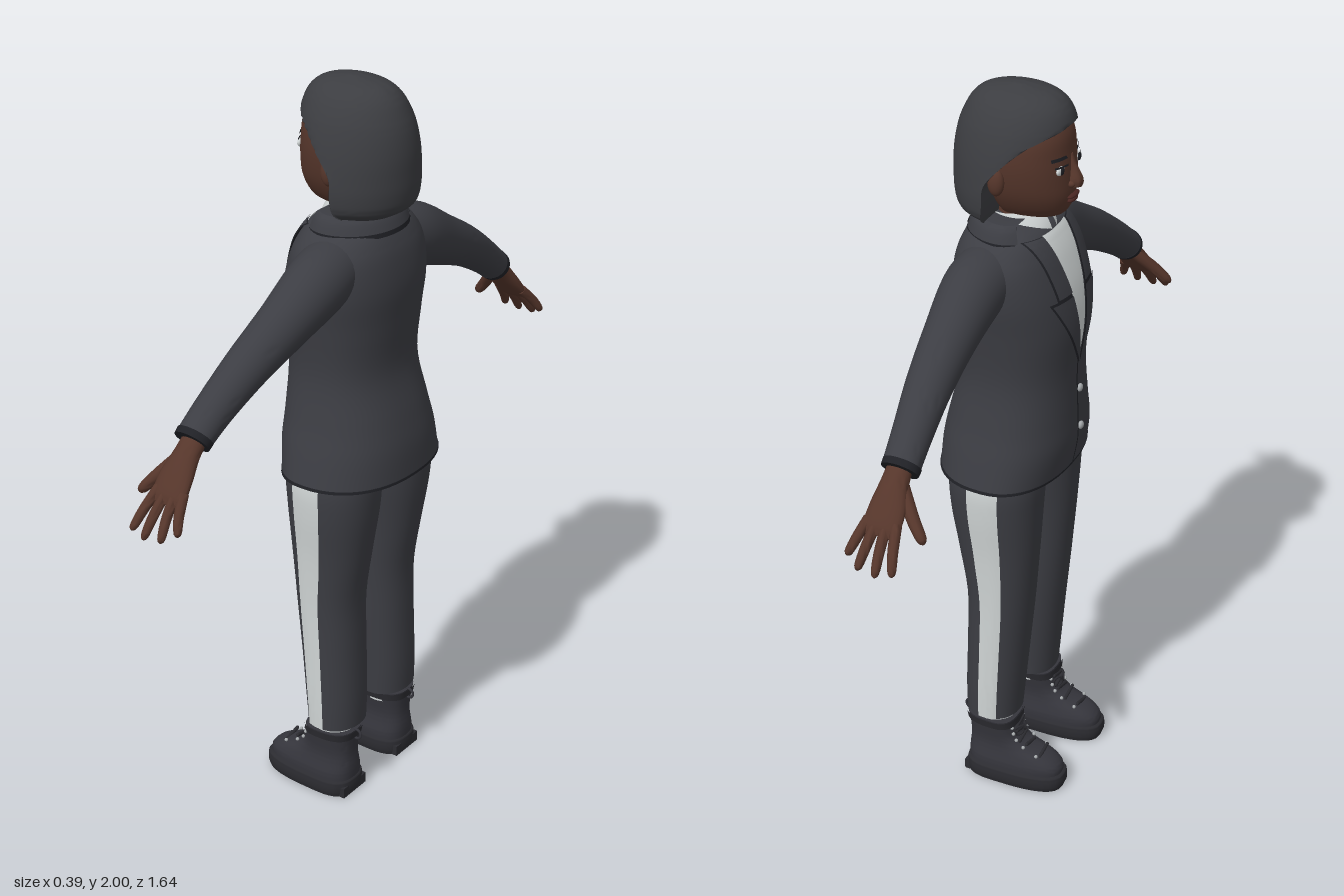
import * as THREE from 'three';
import { toCreasedNormals } from 'three/addons/utils/BufferGeometryUtils.js';

const mat = (name, color, side = THREE.FrontSide) => {
  const m = new THREE.MeshStandardMaterial({ color, side });
  m.name = name;
  return m;
};
const V = (x, y, z) => new THREE.Vector3(x, y, z);

// Smooth interpolation through rows of numbers, t in 0..1
function rowAt(rows, t) {
  const f = Math.min(Math.max(t, 0), 1) * (rows.length - 1);
  const i = Math.min(Math.floor(f), rows.length - 2), u = f - i;
  const r = k => rows[Math.min(Math.max(k, 0), rows.length - 1)];
  return rows[i].map((_, c) => {
    const a = r(i - 1)[c], b = r(i)[c], d = r(i + 1)[c], e = r(i + 2)[c];
    return b + 0.5 * u * (d - a + u * (2 * a - 5 * b + 4 * d - e + u * (3 * (b - d) + e - a)));
  });
}
// Parameter at which rising rows reach height y
function tAt(rows, y) {
  let lo = 0, hi = 1;
  for (let i = 0; i < 30; i++) {
    const m = (lo + hi) / 2;
    if (rowAt(rows, m)[1] < y) lo = m; else hi = m;
  }
  return lo;
}
// Point on the skin of rows [x, y, z, side radius, front radius, back radius, front limit]
function skinPoint(rows, t, angle, n = 2, grow = 0) {
  const r = rowAt(rows, t), p = rowAt(rows, t - 0.01), q = rowAt(rows, t + 0.01);
  const T = V(q[0] - p[0], q[1] - p[1], q[2] - p[2]).normalize();
  const B = V(0, 0, 1).addScaledVector(T, -T.z).normalize();
  const N = T.clone().cross(B);
  const pw = v => Math.sign(v) * Math.abs(v) ** (2 / n);
  const s = Math.sin(angle);
  const out = V(r[0], r[1], r[2])
    .addScaledVector(N, (r[3] + grow) * pw(Math.cos(angle)))
    .addScaledVector(B, ((s > 0 ? r[4] : r[5]) + grow) * pw(s));
  if (r.length > 6) out.z = Math.min(out.z, r[6]);
  return out;
}
// Angle on a front surface for a given x
const frontAngle = (rows, y, x, n) => {
  const k = Math.min(Math.abs(x) / rowAt(rows, tAt(rows, y))[3], 1) ** (n / 2);
  return Math.acos(Math.sign(x) * k);
};
const onFront = (rows, x, y, n, grow = 0) =>
  skinPoint(rows, tAt(rows, y), frontAngle(rows, y, x, n), n, grow);

// Surface through rows; with a range it is an open patch, otherwise a closed, capped solid
function sweep(rows, { n = 2, steps = 28, segs = 32, from, to, range, grow = 0 } = {}) {
  const t0 = from === undefined ? 0 : tAt(rows, from), t1 = to === undefined ? 1 : tAt(rows, to);
  const pos = [], idx = [], w = segs + 1;
  for (let i = 0; i <= steps; i++) {
    const t = t0 + (t1 - t0) * i / steps;
    const [a, b] = range ? range(rowAt(rows, t)[1]) : [0, Math.PI * 2];
    for (let j = 0; j <= segs; j++)
      pos.push(...skinPoint(rows, t, a + (b - a) * j / segs, n, grow).toArray());
  }
  for (let i = 0; i < steps; i++) for (let j = 0; j < segs; j++) {
    const a = i * w + j, b = a + 1, c = a + w, d = c + 1;
    idx.push(a, c, b, b, c, d);
  }
  if (!range) for (const end of [0, 1]) {
    const o = end * steps * w, mid = pos.length / 3, c = V(0, 0, 0);
    for (let j = 0; j < segs; j++) c.add(V().fromArray(pos, (o + j) * 3));
    pos.push(...c.divideScalar(segs).toArray());
    for (let j = 0; j < segs; j++) idx.push(mid, o + j + (end ? 1 : 0), o + j + (end ? 0 : 1));
  }
  const g = new THREE.BufferGeometry();
  g.setAttribute('position', new THREE.Float32BufferAttribute(pos, 3));
  g.setIndex(idx);
  return toCreasedNormals(g, 0.8);
}
// Patch on a front surface between two x limits given by height
const frontPatch = (rows, from, to, n, grow, x0, x1) => sweep(rows, {
  from, to, n, grow, steps: 24, segs: 8,
  range: y => [frontAngle(rows, y, x1(y), n), frontAngle(rows, y, x0(y), n)],
});
function mirrored(geo) {
  const g = geo.index ? geo.toNonIndexed() : geo.clone();
  g.scale(-1, 1, 1);
  for (const a of Object.values(g.attributes)) for (let i = 0; i < a.count; i += 3)
    for (let k = 0; k < a.itemSize; k++) {
      const v = a.getComponent(i + 1, k);
      a.setComponent(i + 1, k, a.getComponent(i + 2, k));
      a.setComponent(i + 2, k, v);
    }
  return g;
}
const blob = (p, sx, sy, sz) => new THREE.SphereGeometry(1, 18, 12).scale(sx, sy, sz).translate(p.x, p.y, p.z);
const lerp = (y, y0, y1, a, b) => a + (b - a) * Math.min(Math.max((y - y0) / (y1 - y0), 0), 1);

export function createModel() {
  const model = new THREE.Group(), body = new THREE.Group();
  model.name = 'standingFigure';
  body.name = 'figure';
  body.rotation.y = -Math.PI / 2; // faces -x
  model.add(body);
  const suit = mat('charcoalSuit', 0x3c3d43, THREE.DoubleSide), seam = mat('darkSeam', 0x202126, THREE.DoubleSide);
  const white = mat('whiteCloth', 0xd0d5d5, THREE.DoubleSide), skin = mat('brownSkin', 0x56362b);
  const hair = mat('charcoalHair', 0x3c3d41), boot = mat('bootLeather', 0x35353c);
  const sole = mat('bootSole', 0x2b2b30), metal = mat('silverMetal', 0xa4a8aa), lip = mat('lips', 0x4a2622);
  const add = (name, geo, m) => {
    const mesh = new THREE.Mesh(geo, m);
    mesh.name = name;
    body.add(mesh);
  };
  const pair = (name, geo, m) => {
    add(name + 'Left', geo, m);
    add(name + 'Right', mirrored(geo), m);
  };

  // Jacket body
  const torso = [[0.965, .235, .145, .19], [1.05, .215, .16, .185], [1.13, .194, .159, .168], [1.25, .175, .156, .138],
    [1.38, .185, .165, .146], [1.48, .198, .154, .155], [1.56, .193, .13, .147], [1.61, .165, .107, .13],
    [1.64, .125, .085, .11], [1.656, .08, .05, .08]].map(([y, x, f, b]) => [0, y, 0, x, f, b]);
  const TN = 2.3;
  add('jacketBody', sweep(torso, { n: TN, steps: 44, segs: 48 }), suit);
  add('jacketHemTrim', sweep(torso, { n: TN, steps: 2, segs: 48, to: 0.972, grow: 0.002 }), seam);
  add('jacketOpening', frontPatch(torso, 0.966, 1.28, TN, 0.002, () => -.003, () => .003), seam);

  // Shirt front, lapels and collars
  const inner = y => lerp(y, 1.28, 1.63, 0.001, 0.06);
  add('shirtFront', frontPatch(torso, 1.28, 1.635, TN, 0.003, y => -inner(y), inner), white);
  const lapelOut = y => lerp(y, 1.28, 1.48, 0.004, 0.112), collarOut = y => lerp(y, 1.47, 1.63, 0.085, 0.11);
  pair('lapel', frontPatch(torso, 1.28, 1.475, TN, 0.008, inner, lapelOut), suit);
  pair('lapelEdge', frontPatch(torso, 1.275, 1.48, TN, 0.005, inner, y => lapelOut(y) + .005), seam);
  pair('collarFront', frontPatch(torso, 1.485, 1.635, TN, 0.008, inner, collarOut), suit);
  pair('collarFrontEdge', frontPatch(torso, 1.48, 1.635, TN, 0.005, inner, y => collarOut(y) + .005), seam);
  const collar = [[1.628, .145, .1, .128], [1.655, .135, .085, .118], [1.67, .122, .075, .106], [1.664, .108, .065, .095], [1.635, .1, .06, .088]];
  add('jacketCollar', sweep(collar.map(([y, x, f, b]) => [0, y, 0, x, f, b]),
    { range: () => [-Math.PI - .55, .55], steps: 12 }), suit);
  add('jacketCollarEdge', sweep([[0, 1.62, 0, .148, .1, .131], [0, 1.632, 0, .146, .1, .129]],
    { range: () => [-Math.PI - .5, .5], steps: 2 }), seam);
  add('shirtCollar', sweep([[0, 1.6, 0, .088, .105, .085], [0, 1.64, 0, .078, .088, .082], [0, 1.678, -.005, .066, .062, .075]],
    { range: () => [-Math.PI * 1.45, Math.PI * .45], steps: 8 }), white);
  for (const y of [1.08, 1.19]) {
    add('jacketButton', blob(onFront(torso, .012, y, TN, .004), .011, .011, .007), metal);
  }

  // Sleeves
  pair('sleeve', sweep([[.1, 1.555, -.02, .07, .08, .08], [.2, 1.525, -.03, .084, .08, .08], [.33, 1.465, -.026, .069, .068, .068],
    [.46, 1.4, -.016, .057, .058, .058], [.57, 1.33, -.004, .048, .05, .05], [.645, 1.275, .003, .042, .047, .047]]), suit);
  pair('sleeveCuff', sweep([[.636, 1.282, .003, .044, .049, .049], [.65, 1.271, .003, .043, .048, .048]], { steps: 2 }), seam);

  // Hands: palm, four fingers and a thumb
  pair('palm', sweep([[.62, 1.295, 0, .026, .03, .03], [.67, 1.25, 0, .025, .036, .034], [.71, 1.205, 0, .022, .05, .044],
    [.742, 1.167, 0, .016, .05, .048], [.756, 1.15, 0, .007, .044, .042]], { segs: 20, steps: 16 }), skin);
  const digit = (name, a, b, r) => pair(name, sweep([0, .5, .9, 1].map((t, i) => {
    const p = a.clone().lerp(b, t), k = r * [1, .95, .75, .15][i];
    return [p.x + .006 * Math.sin(t * Math.PI), p.y, p.z, k, k, k];
  }), { segs: 10, steps: 10 }), skin);
  [[.037, .063, .81, 1.085], [.012, .021, .818, 1.076], [-.013, -.028, .813, 1.08], [-.036, -.065, .793, 1.1]]
    .forEach(([z0, z1, x, y], i) => digit('finger' + (i + 1), V(.733, 1.178, z0), V(x, y, z1), .0135));
  digit('thumb', V(.668, 1.24, .02), V(.728, 1.14, .106), .017);

  // Trousers with side stripes
  const leg = [[.213, .113, -.022, .08, .073], [.3, .112, -.019, .083, .078], [.45, .11, -.01, .086, .083], [.6, .11, -.002, .089, .09],
    [.75, .112, -.007, .096, .108], [.88, .113, -.013, .109, .122], [.97, .11, -.013, .111, .125], [1.06, .09, -.013, .09, .11]]
    .map(([y, x, z, a, b]) => [x, y, z, a, b, b]);
  pair('trouserLeg', sweep(leg, { n: 2.2 }), suit);
  pair('trouserStripe', sweep(leg, { n: 2.2, from: .216, to: 1, grow: .004, segs: 8,
    range: y => [-.22 + lerp(y, .2, .7, .1, 0), .38 + lerp(y, .2, .6, .1, 0)] }), white);
  pair('sock', sweep([[.12, .17, -.018, .058, .06, .06], [.12, .235, -.018, .06, .06, .06]], { steps: 2 }), white);

  // Boots
  const shoe = [[.035, .062, .183, .085], [.065, .063, .182, .086], [.088, .058, .155, .085], [.11, .054, .1, .083],
    [.135, .054, .066, .083], [.17, .059, .053, .086], [.2, .064, .052, .091]].map(([y, x, f, b]) => [.123, y, 0, x, f, b]);
  pair('bootUpper', sweep(shoe, { n: 2.7 }), boot);
  pair('bootTopBand', sweep(shoe, { n: 2.7, from: .178, to: .2, grow: .004, steps: 3, range: () => [0, Math.PI * 2] }), sole);
  const rim = (y, f, b, x) => [.124, y, 0, x, f, b];
  pair('bootSole', sweep([rim(0, .188, .087, .066), rim(.015, .193, .09, .07), rim(.04, .193, .09, .07), rim(.046, .188, .087, .066)],
    { n: 2.8, steps: 9 }), sole);
  pair('bootHeel', new THREE.BoxGeometry(.1, .03, .06).translate(.124, .016, -.058), sole);
  [.1, .118, .136, .155, .174].forEach((y, i) => {
    const p = skinPoint(shoe, tAt(shoe, y), Math.PI / 2, 2.7, .003);
    const lace = new THREE.CapsuleGeometry(.005, .05, 4, 8).rotateZ(Math.PI / 2 + (i % 2 ? .25 : -.25));
    pair('bootLace', lace.translate(p.x, p.y, p.z), sole);
    for (const s of [-1, 1]) pair('bootEyelet', blob(V(p.x + s * .034, p.y, p.z - .006), .005, .005, .005), metal);
  });
  for (const s of [-1, 1]) pair('laceBow', new THREE.TorusGeometry(.014, .003, 6, 14).rotateY(s * .6).translate(.123 + s * .016, .158, .063), sole);
  pair('bootPullTab', new THREE.TorusGeometry(.014, .004, 6, 14).rotateY(Math.PI / 2).translate(.123, .188, -.093), boot);

  // Head and neck
  const head = [[1.668, .035, .09, .02], [1.685, .07, .122, .04], [1.73, .1, .14, .06], [1.78, .116, .141, .08], [1.84, .122, .136, .1],
    [1.9, .112, .126, .11], [1.96, .075, .08, .08], [1.98, .02, .02, .02]].map(([y, x, f, b]) => [0, y, 0, x, f, b]);
  add('neck', sweep([[0, 1.58, -.005, .064, .062, .062], [0, 1.65, 0, .058, .056, .06], [0, 1.74, .01, .06, .06, .06]], { steps: 10 }), skin);
  add('head', sweep(head, { n: 2.15, steps: 36 }), skin);
  pair('ear', blob(V(.122, 1.785, -.008), .016, .036, .022), skin);
  add('noseBridge', sweep([[0, 1.76, .142, .018, .02, .02], [0, 1.775, .143, .019, .023, .02], [0, 1.81, .137, .01, .012, .012],
    [0, 1.84, .132, .007, .006, .01]], { segs: 16, steps: 12 }), skin);
  pair('nostril', blob(V(.015, 1.767, .142), .01, .009, .011), skin);
  add('upperLip', blob(onFront(head, 0, 1.733, 2.15), .028, .006, .011), lip);
  add('lowerLip', blob(onFront(head, 0, 1.722, 2.15), .024, .007, .011), lip);
  pair('eyeWhite', blob(onFront(head, .048, 1.812, 2.15, -.002), .019, .012, .007), white);
  pair('iris', blob(onFront(head, .047, 1.812, 2.15, .003), .0095, .0105, .004), seam);
  const brow = y => lerp(y, 1.836, 1.848, .024, .03);
  pair('eyebrow', frontPatch(head, 1.838, 1.847, 2.15, .003, brow, () => .072), seam);
  pair('eyelid', frontPatch(head, 1.821, 1.826, 2.15, .006, () => .029, () => .067), seam);

  // Bobbed hair, cut back around the face
  add('hair', sweep([[1.663, .112, .1, .12, -.045], [1.688, .146, .1, .155, -.038], [1.73, .154, .11, .166, -.032], [1.78, .151, .125, .168, -.028],
    [1.83, .144, .135, .167, .012], [1.88, .132, .14, .159, .068], [1.92, .117, .139, .145, .14], [1.96, .092, .122, .122, .14],
    [1.986, .058, .085, .085, .14], [2, .008, .015, .015, .14]].map(([y, x, f, b, c]) => [0, y, 0, x, f, b, c]), { steps: 48, segs: 48 }), hair);
  return model;
}
